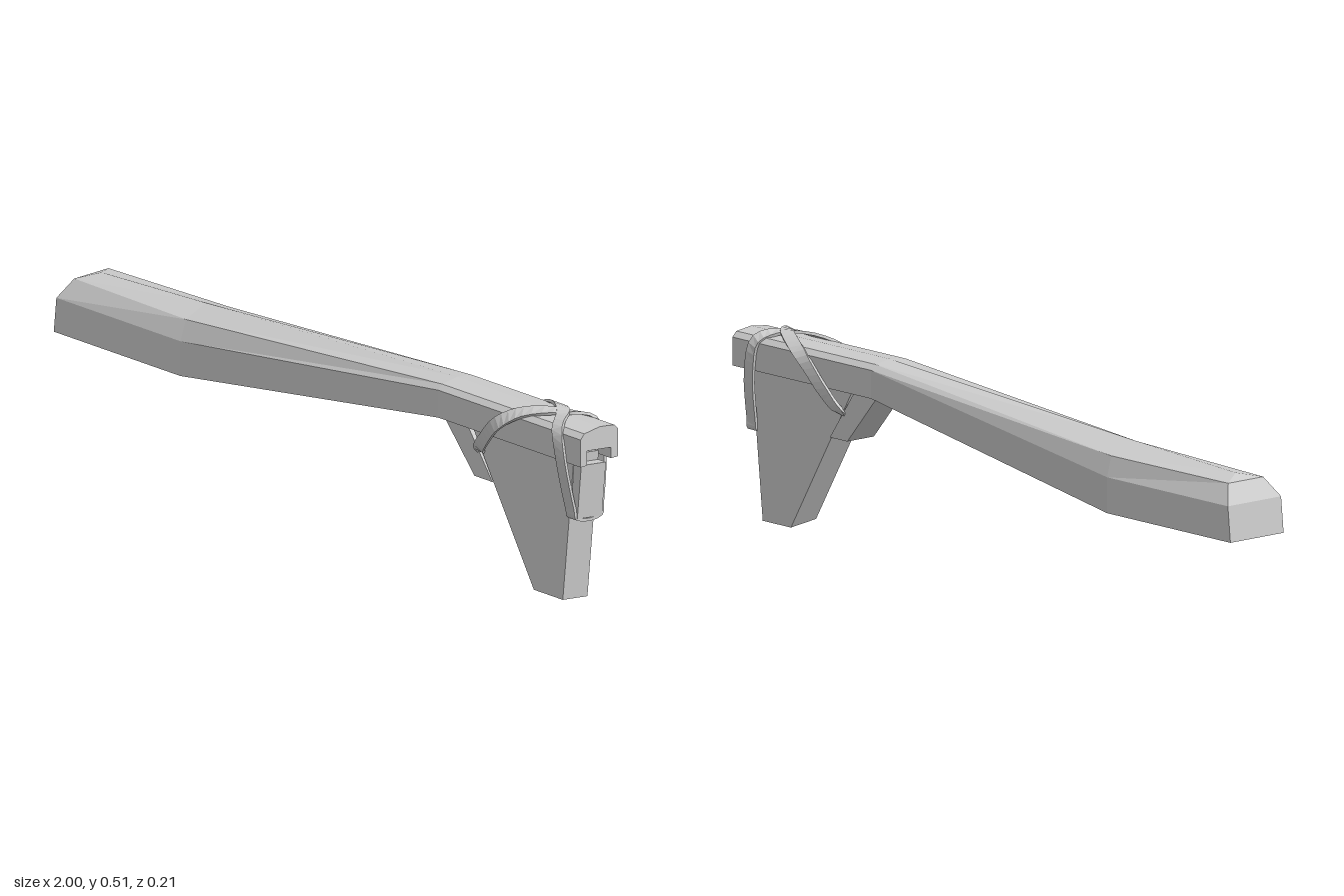
import * as THREE from 'three';

const material = new THREE.MeshStandardMaterial({ color: 0xcccccc, flatShading: true });

function part(name, geometry) {
  const mesh = new THREE.Mesh(geometry, material);
  mesh.name = name;
  return mesh;
}

// Flat-sided skin through rings of points; open runs get end caps
function loft(rings, closed = false) {
  const out = [];
  const tri = (...pts) => pts.forEach((p) => out.push(p.x, p.y, p.z));
  const n = rings[0].length;
  const last = closed ? rings.length : rings.length - 1;
  for (let r = 0; r < last; r++) {
    const a = rings[r], b = rings[(r + 1) % rings.length];
    for (let i = 0; i < n; i++) {
      const j = (i + 1) % n;
      tri(a[i], a[j], b[i]);
      tri(a[j], b[j], b[i]);
    }
  }
  const cap = (ring) => {
    for (let i = 0, j = n - 1; i < j; i++, j--) {
      tri(ring[i], ring[j], ring[i + 1]);
      if (i + 1 < j - 1) tri(ring[j], ring[j - 1], ring[i + 1]);
    }
  };
  if (!closed) {
    cap(rings[0]);
    cap([...rings[rings.length - 1]].reverse());
  }
  const g = new THREE.BufferGeometry();
  g.setAttribute('position', new THREE.Float32BufferAttribute(out, 3));
  g.computeVertexNormals();
  return g;
}

// Side outline given depth in z, rolled slightly so the back sits lower
function slab(points, z0, z1, roll = 0.118) {
  const shape = new THREE.Shape(points.map(([x, y]) => new THREE.Vector2(x, y)));
  const g = new THREE.ExtrudeGeometry(shape, { depth: z1 - z0, bevelEnabled: false });
  g.translate(0, 0, z0);
  const p = g.attributes.position;
  for (let i = 0; i < p.count; i++) p.setY(i, p.getY(i) + (p.getZ(i) - z1) * roll);
  g.computeVertexNormals();
  return g;
}

export function createModel() {
  const group = new THREE.Group();

  // Handle sections, [z, y], from back bottom over the top to front bottom
  const butt = [[-0.104, 0.265], [-0.104, 0.36], [-0.076, 0.412], [-0.015, 0.425], [0.045, 0.412], [0.08, 0.36], [0.08, 0.265]];
  const belly = [[-0.104, 0.265], [-0.104, 0.36], [-0.09, 0.415], [-0.01, 0.444], [0.06, 0.415], [0.08, 0.36], [0.08, 0.265]];
  const head = [[-0.05, 0.4], [-0.05, 0.475], [-0.036, 0.489], [0.015, 0.496], [0.07, 0.489], [0.083, 0.475], [0.083, 0.4]];
  const buttX = [-1, -0.99, -0.96, -0.92, -0.96, -0.99, -1];
  const ring = (section, x) => section.map(([z, y], i) => new THREE.Vector3(Array.isArray(x) ? x[i] : x, y, z));
  group.add(part('handle', loft([ring(butt, buttX), ring(belly, -0.52), ring(head, 0.46), ring(head, 0.945)])));

  // Arched end of the head, open below
  const arch = [...head, [0.06, 0.4], [0.06, 0.44], [-0.025, 0.43], [-0.025, 0.4]];
  const archShape = new THREE.Shape(arch.map(([z, y]) => new THREE.Vector2(-z, y)));
  const archGeometry = new THREE.ExtrudeGeometry(archShape, { depth: 0.055, bevelEnabled: false });
  archGeometry.rotateY(Math.PI / 2).translate(0.945, 0, 0);
  group.add(part('headEnd', archGeometry));

  // Blade, brace and end wedge hanging under the head
  group.add(part('blade', slab([[0.8, 0.01], [0.91, 0.01], [0.953, 0.42], [0.555, 0.42]], -0.025, 0.062)));
  group.add(part('brace', slab([[0.575, 0.265], [0.643, 0.265], [0.54, 0.41], [0.45, 0.41]], -0.03, 0.062, 0)));
  group.add(part('wedge', slab([[0.94, 0.245], [0.965, 0.245], [0.98, 0.395], [0.952, 0.395]], -0.025, 0.062)));

  // Crossed lashing: position followed by outward direction
  const lashing = [
    [0.6, 0.345, 0.068, 0.2, -0.2, 1],
    [0.64, 0.39, 0.088, 0, 0, 1],
    [0.7, 0.45, 0.096, 0, 0.2, 1],
    [0.77, 0.49, 0.07, 0, 1, 0.7],
    [0.865, 0.503, 0.015, 0, 1, 0],
    [0.91, 0.483, -0.046, 0, 0.7, -1],
    [0.93, 0.4, -0.053, 0, 0, -1],
    [0.945, 0.265, -0.031, 0, 0, -1],
    [0.947, 0.238, -0.025, 0, -1, -0.6],
    [0.947, 0.244, 0.06, 0, -1, 0.6],
    [0.945, 0.27, 0.067, 0, 0, 1],
    [0.93, 0.4, 0.086, 0, 0, 1],
    [0.91, 0.483, 0.08, 0, 0.7, 1],
    [0.865, 0.504, 0.018, 0, 1, 0],
    [0.77, 0.489, -0.039, 0, 1, -0.7],
    [0.7, 0.45, -0.057, 0, 0.2, -1],
    [0.64, 0.39, -0.054, 0, 0, -1],
    [0.6, 0.345, -0.036, 0.2, -0.2, -1],
    [0.603, 0.342, 0.015, 0.8, -0.6, 0],
  ];
  const curve = (k) => new THREE.CatmullRomCurve3(
    lashing.map((p) => new THREE.Vector3(p[k], p[k + 1], p[k + 2])), true);
  const path = curve(0), outward = curve(3);
  const rings = [];
  const steps = lashing.length * 4;
  for (let s = 0; s < steps; s++) {
    const t = s / steps;
    const p = path.getPoint(t), tangent = path.getTangent(t);
    const n = outward.getPoint(t);
    n.addScaledVector(tangent, -n.dot(tangent)).normalize();
    const b = new THREE.Vector3().crossVectors(tangent, n);
    rings.push([[1, -1], [1, 1], [-1, 1], [-1, -1]].map(([u, v]) =>
      p.clone().addScaledVector(n, u * 0.004).addScaledVector(b, v * 0.017)));
  }
  group.add(part('lashing', loft(rings, true)));

  return group;
}
